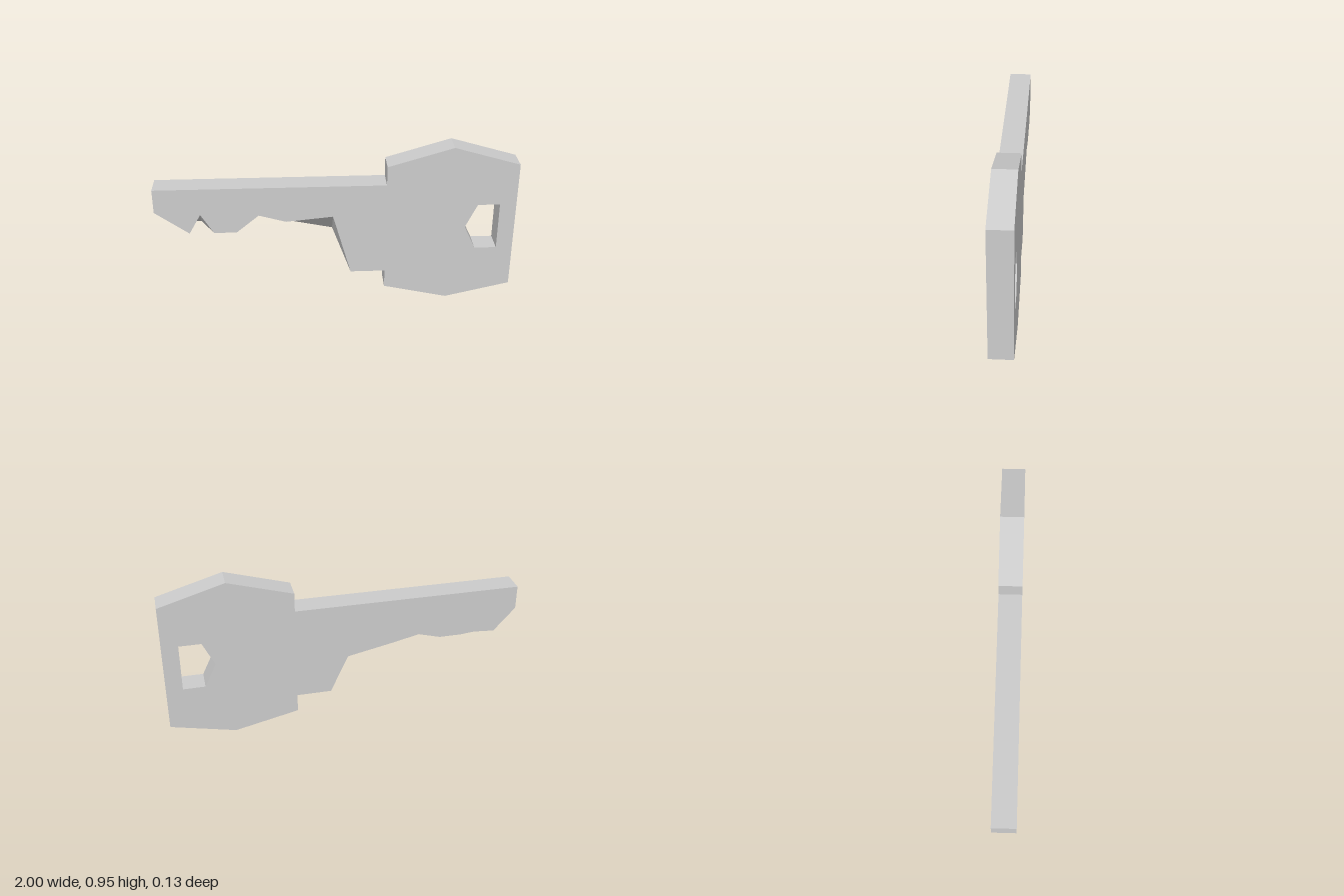
import * as THREE from 'three';
import { mergeGeometries } from 'three/addons/utils/BufferGeometryUtils.js';

const HALF = 0.065; // half the thickness

// Head and collar, counter-clockwise from the shoulder under the blade
const head = [
  [0.08, 0.19], [0.275, 0.19], [0.275, 0.085], [0.635, 0.003], [1, 0.086],
  [1, 0.843], [0.635, 0.951], [0.275, 0.845], [0.275, 0.736],
];
// Blade cuts from tip to shoulder: deeper on the front face than on the back
const frontCuts = [
  [-1, 0.736], [-1, 0.6], [-0.815, 0.465], [-0.75, 0.58], [-0.68, 0.465],
  [-0.555, 0.465], [-0.43, 0.568], [-0.28, 0.525], [-0.02, 0.55],
];
const backCuts = [
  [-1, 0.736], [-1, 0.6], [-0.88, 0.465], [-0.76, 0.473], [-0.68, 0.465],
  [-0.555, 0.465], [-0.43, 0.5], [-0.28, 0.465], [-0.02, 0.41],
];
// Five-sided ring hole, clockwise
const hole = [[0.908, 0.602], [0.908, 0.327], [0.785, 0.327], [0.72, 0.464], [0.785, 0.602]];

const toVectors = (pts, sign = 1) => pts.map(([x, y]) => new THREE.Vector2(sign * x, y));

// Flat face with the hole cut out
function face(outline, sign) {
  const shape = new THREE.Shape(toVectors(outline, sign));
  shape.holes.push(new THREE.Path(toVectors(hole, sign)));
  const g = new THREE.ShapeGeometry(shape).toNonIndexed();
  g.deleteAttribute('uv');
  g.translate(0, 0, HALF);
  if (sign < 0) g.rotateY(Math.PI);
  return g;
}

// Side wall joining matching points of a front and a back loop
function wall(front, back) {
  const pos = [];
  front.forEach((a, i) => {
    const j = (i + 1) % front.length;
    const fa = [...a, HALF], fb = [...front[j], HALF];
    const ba = [...back[i], -HALF], bb = [...back[j], -HALF];
    pos.push(...fa, ...ba, ...fb, ...fb, ...ba, ...bb);
  });
  const g = new THREE.BufferGeometry();
  g.setAttribute('position', new THREE.Float32BufferAttribute(pos, 3));
  g.computeVertexNormals();
  return g;
}

export function createModel() {
  const front = [...frontCuts, ...head];
  const back = [...backCuts, ...head];
  const geometry = mergeGeometries([
    face(front, 1), face(back, -1), wall(front, back), wall(hole, hole),
  ]);
  geometry.computeVertexNormals();

  const key = new THREE.Mesh(
    geometry,
    new THREE.MeshStandardMaterial({ color: 0xcccccc, flatShading: true }),
  );
  key.name = 'keyBody';

  const group = new THREE.Group();
  group.name = 'key';
  group.add(key);
  return group;
}
